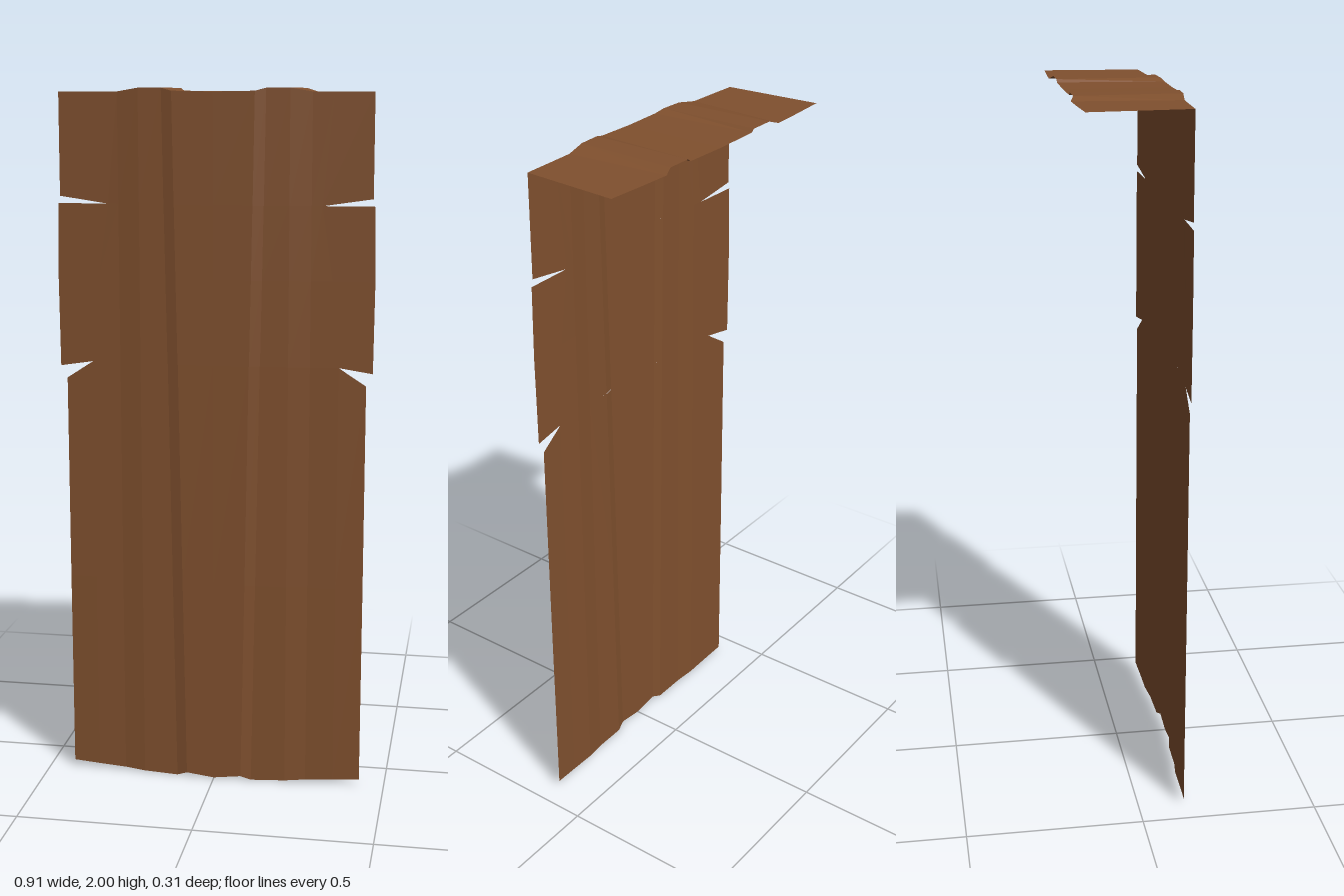
import * as THREE from 'three';

const material = new THREE.MeshStandardMaterial({ color: 0x80502e, flatShading: true, side: THREE.DoubleSide });

// Each row lists points from the centre line out to the +x edge; mirror it to full width.
function fullRow(half) {
  const left = half.slice(1).reverse().map(([x, y, z]) => [-x, y, z]);
  return [...left, ...half];
}

// Join consecutive cross-sections into one sheet of quads.
function sheet(name, halfRows) {
  const rows = halfRows.map(fullRow);
  const n = rows[0].length;
  const index = [];
  for (let r = 0; r < rows.length - 1; r++) {
    for (let c = 0; c < n - 1; c++) {
      const a = r * n + c, b = a + 1, d = a + n, e = d + 1;
      index.push(a, b, e, a, e, d);
    }
  }
  const geometry = new THREE.BufferGeometry();
  geometry.setAttribute('position', new THREE.Float32BufferAttribute(rows.flat(2), 3));
  geometry.setIndex(index);
  geometry.computeVertexNormals();
  const mesh = new THREE.Mesh(geometry, material);
  mesh.name = name;
  return mesh;
}

// Fold profile of the hanging cloth: x, depth, and ripple of the hem and of the top edge
const foldX = [0, 0.115, 0.145, 0.21, 0.27];
const foldZ = [0.154, 0.154, 0.147, 0.144, 0.136];
const hemY = [0.004, 0.014, 0.002, 0.006, 0.01];
const topY = [1.99, 1.992, 2.0, 2.0, 1.99];

// One row across the hanging cloth; inner is the notch-tip point, edge the outer point
function clothRow(ys, inner, edge) {
  const t = edge[1] / 2;
  const row = foldX.map((x, i) => {
    const shift = i === 1 || i === 2 ? -0.035 * (1 - t) : 0;
    return [x + shift, Array.isArray(ys) ? ys[i] : ys, foldZ[i]];
  });
  row.push([...inner, 0.134], [...edge, 0.131]);
  return row;
}

export function createModel() {
  const group = new THREE.Group();
  group.name = 'hangingCloth';

  // Hanging panel in three bands, separated by torn notches at both edges
  const top = clothRow(topY, [0.33, 1.99], [0.437, 1.99]);
  group.add(sheet('lowerPanel', [
    clothRow(hemY, [0.35, 0.015], [0.428, 0.02]),
    clothRow(0.6, [0.35, 0.6], [0.428, 0.6]),
    clothRow(1.24, [0.35, 1.24], [0.427, 1.19]),
  ]));
  group.add(sheet('middlePanel', [
    clothRow(1.24, [0.35, 1.24], [0.445, 1.225]),
    clothRow(1.48, [0.33, 1.48], [0.447, 1.48]),
    clothRow(1.685, [0.3, 1.685], [0.443, 1.685]),
  ]));
  group.add(sheet('upperPanel', [
    clothRow(1.685, [0.3, 1.685], [0.438, 1.705]),
    top,
  ]));

  // Top flap folded backwards from the upper edge
  const backX = [0, 0.137, 0.147, 0.22, 0.25, 0.33, 0.456];
  const backZ = [-0.147, -0.147, -0.147, -0.147, -0.157, -0.154, -0.147];
  const back = backX.map((x, i) => [x, top[i][1], backZ[i]]);
  group.add(sheet('topFlap', [top, back]));

  return group;
}
